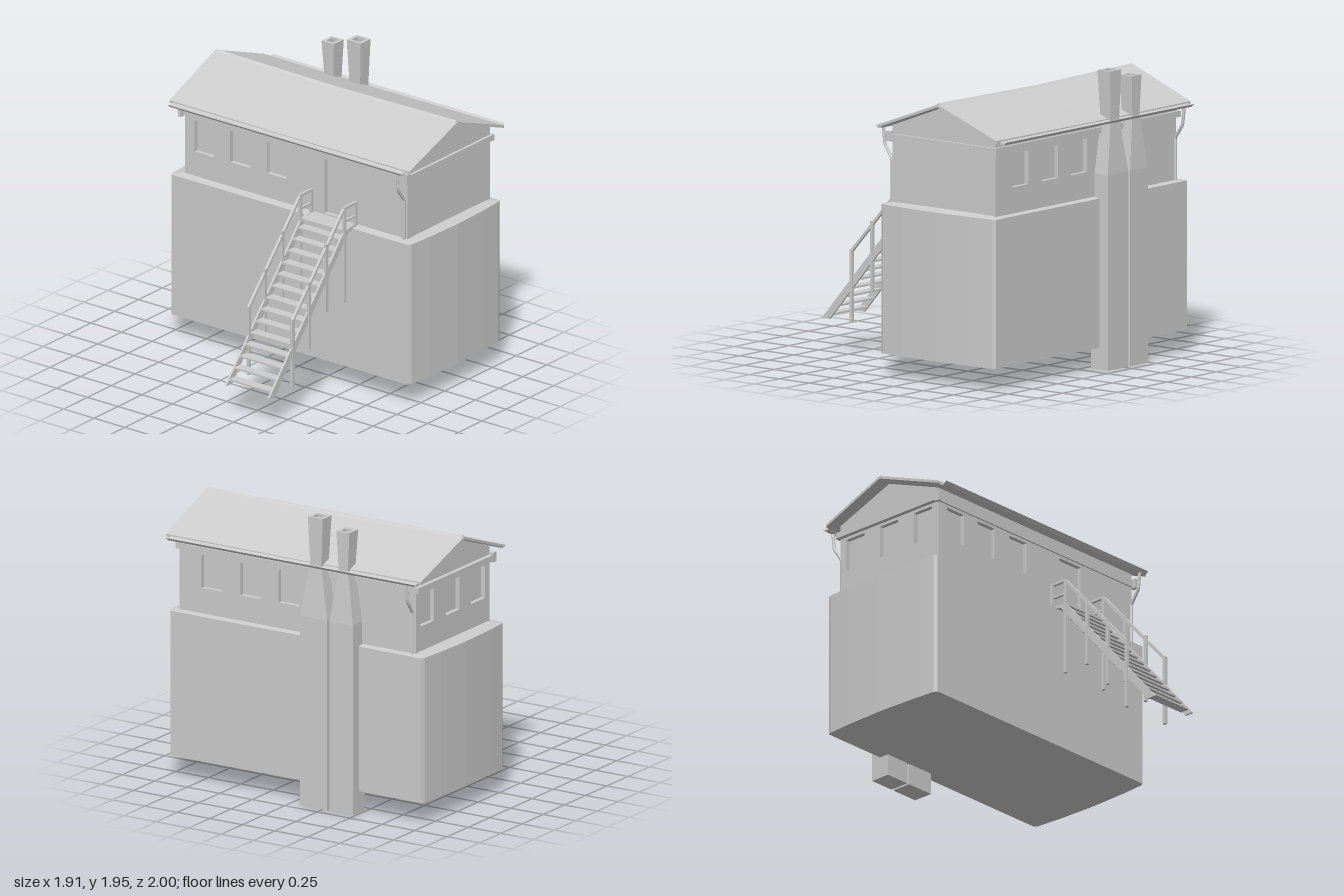
import * as THREE from 'three';

const mat = new THREE.MeshStandardMaterial({ color: 0xcccccc, flatShading: true, side: THREE.DoubleSide });

function add(parent, name, geo, x = 0, y = 0, z = 0) {
  const m = new THREE.Mesh(geo, mat);
  m.name = name;
  m.position.set(x, y, z);
  parent.add(m);
  return m;
}

// Box given by its limits
function block(parent, name, x0, x1, y0, y1, z0, z1) {
  return add(parent, name, new THREE.BoxGeometry(x1 - x0, y1 - y0, z1 - z0),
    (x0 + x1) / 2, (y0 + y1) / 2, (z0 + z1) / 2);
}

// Skin over successive rings, counterclockwise seen from the far end, with end caps
function loft(rings) {
  const pos = [];
  const n = rings[0].length;
  const tri = (...p) => p.forEach((v) => pos.push(...v));
  for (let r = 0; r < rings.length - 1; r++) {
    for (let i = 0; i < n; i++) {
      const j = (i + 1) % n;
      const [a, b, c, d] = [rings[r][i], rings[r][j], rings[r + 1][j], rings[r + 1][i]];
      tri(a, b, c);
      tri(a, c, d);
    }
  }
  const first = rings[0], last = rings[rings.length - 1];
  for (let i = 1; i < n - 1; i++) {
    tri(first[0], first[i + 1], first[i]);
    tri(last[0], last[i], last[i + 1]);
  }
  const g = new THREE.BufferGeometry();
  g.setAttribute('position', new THREE.Float32BufferAttribute(pos, 3));
  g.computeVertexNormals();
  return g;
}

const rectRing = (x0, x1, y, z0, z1) => [[x1, y, z1], [x1, y, z0], [x0, y, z0], [x0, y, z1]];

const polygon = (pts) => new THREE.Shape(pts.map(([x, y]) => new THREE.Vector2(x, y)));

const extrude = (shape, depth) => new THREE.ExtrudeGeometry(shape, { depth, bevelEnabled: false });

// Square bar between two points of a vertical plane at z
function bar(parent, name, x0, y0, x1, y1, z, t) {
  const len = Math.hypot(x1 - x0, y1 - y0);
  const m = add(parent, name, new THREE.BoxGeometry(len, t, t), (x0 + x1) / 2, (y0 + y1) / 2, z);
  m.rotation.z = Math.atan2(y1 - y0, x1 - x0);
}

// Lower storey: end walls bulge slightly, top slopes in to the cabin
function buildBase(g) {
  const ring = (y, inset) => {
    const pts = [];
    const cx = 0.39, hx = 0.48 - inset;
    for (const s of [-1, 1]) {
      for (const u of [-1, -0.95, -0.6, 0, 0.6, 0.95, 1]) {
        const z = 1 - inset - 0.025 * u * u - (Math.abs(u) === 1 ? 0.01 : 0);
        pts.push([cx - s * -u * hx, y, s * z]);
      }
    }
    return pts;
  };
  add(g, 'baseStorey', loft([ring(0.145, 0), ring(1.12, 0), ring(1.135, 0.07)]));
}

// Upper cabin: pierced walls around a recessed core
function buildCabin(g) {
  const X0 = -0.035, X1 = 0.83, Z0 = -0.9, Z1 = 0.92, T = 0.03, Y0 = 1.12, Y1 = 1.635;
  const cabin = new THREE.Group();
  cabin.name = 'cabin';
  g.add(cabin);

  const wall = (name, outline, openings, angle, x, z) => {
    const s = polygon(outline);
    for (const [u, w, y0, y1] of openings) {
      s.holes.push(new THREE.Path([[u - w / 2, y0], [u - w / 2, y1], [u + w / 2, y1], [u + w / 2, y0]]
        .map(([a, b]) => new THREE.Vector2(a, b))));
    }
    add(cabin, name, extrude(s, T), x, 0, z).rotation.y = angle;
  };
  const windows = (us) => us.map((u) => [u, 0.16, 1.3, 1.52]);
  const sideWall = (a, b) => [[a, Y0], [b, Y0], [b, Y1], [a, Y1]];
  const gable = (s) => [[s * X0, Y0], [s * X1, Y0], [s * X1, Y1], [s * 0.4, 1.8], [s * X0, Y1]];

  wall('rightWall', sideWall(-Z1 + T, -Z0 - T), windows([-0.67, -0.37, -0.08]), Math.PI / 2, X1 - T, 0);
  wall('leftWall', sideWall(Z0 + T, Z1 - T),
    [...windows([-0.74, -0.45, -0.15]), [0.34, 0.2, 1.14, 1.52]], -Math.PI / 2, X0 + T, 0);
  wall('frontWall', gable(1), [], 0, 0, Z1 - T);
  wall('backWall', gable(-1), windows([-0.7, -0.4, -0.1]), Math.PI, 0, Z0 + T);
  block(cabin, 'windowPanes', X0 + T, X1 - T, Y0, Y1 - 0.01, Z0 + T, Z1 - T);
  block(cabin, 'trimBand', X0 - 0.012, X1 + 0.018, 1.54, 1.58, Z0 - 0.03, Z1 + 0.02);
  for (const z of [Z0 - 0.018, Z1 + 0.008]) block(cabin, 'trimEnd', -0.07, -0.03, 1.53, 1.595, z - 0.012, z + 0.012);
}

// Sagging gable roof with trimmed ends
function buildRoof(g) {
  const ring = (z, ridge, eave, zIn) => [
    [0.4, ridge - 0.018, z], [0.89, eave - 0.018, z - zIn], [0.89, eave, z - zIn],
    [0.4, ridge, z], [-0.1, eave, z - zIn], [-0.1, eave - 0.018, z - zIn],
  ];
  add(g, 'roof', loft([
    ring(-0.99, 1.825, 1.64, -0.015), ring(-0.5, 1.817, 1.638, 0), ring(0, 1.812, 1.636, 0),
    ring(0.5, 1.817, 1.638, 0), ring(0.99, 1.825, 1.64, 0.005),
  ]));
  const cap = [-0.98, 0, 0.98].map((z) => {
    const y = 1.815 + 0.013 * Math.abs(z);
    return [[0.38, y - 0.008, z], [0.42, y - 0.008, z], [0.4, y + 0.006, z]];
  });
  add(g, 'ridgeCap', loft(cap));
}

// Gutters along both eaves, one downpipe each at opposite ends
function buildGutters(g) {
  for (const side of [-1, 1]) {
    const at = (d) => 0.395 + side * d;
    const s = polygon([[at(0.485), 1.635], [at(0.5), 1.612], [at(0.525), 1.61], [at(0.548), 1.63], [at(0.525), 1.622], [at(0.505), 1.625]]);
    add(g, 'gutter', extrude(s, 1.9), 0, 0, -0.95);
    const z = side < 0 ? 0.9 : -0.88;
    const path = new THREE.CurvePath();
    const pts = [[0.52, 1.615], [0.508, 1.5], [0.446, 1.41], [0.446, 1.13]]
      .map(([d, y]) => new THREE.Vector3(at(d), y, z));
    for (let i = 0; i < 3; i++) path.add(new THREE.LineCurve3(pts[i], pts[i + 1]));
    add(g, 'downpipe', new THREE.TubeGeometry(path, 24, 0.011, 6));
  }
}

// Tapered chimney with a hollow top
function buildChimney(g, zc, half, neck, top) {
  const w = neck + 0.014;
  add(g, 'chimney', loft([
    rectRing(0.8, 0.94, 0, zc - half, zc + half),
    rectRing(0.8, 0.94, 1.28, zc - half, zc + half),
    rectRing(0.828, 0.914, 1.63, zc - neck, zc + neck),
    rectRing(0.815, 0.92, top, zc - w, zc + w),
    rectRing(0.837, 0.9, top, zc - w + 0.022, zc + w - 0.022),
    rectRing(0.837, 0.9, top - 0.1, zc - w + 0.022, zc + w - 0.022),
  ]));
}

// Outside stair with landing and railings
function buildStairs(g) {
  const st = new THREE.Group();
  st.name = 'stairs';
  g.add(st);
  const stringer = polygon([[-0.965, 0.215], [-0.9, 0.215], [-0.13, 1.105], [-0.05, 1.115],
    [-0.05, 1.135], [-0.12, 1.135], [-0.18, 1.12]]);
  for (const z of [0.155, 0.505]) {
    add(st, 'stringer', extrude(stringer, 0.014), 0, 0, z - 0.007);
    const zp = z + (z < 0.3 ? -0.004 : 0.004);
    for (const [x, y0, y1] of [[-0.715, 0.215, 0.69], [-0.545, 0.43, 0.895], [-0.363, 0.63, 1.1],
      [-0.173, 0.63, 1.295], [-0.057, 1.12, 1.295]]) {
      block(st, 'railPost', x - 0.011, x + 0.011, y0, y1, zp - 0.01, zp + 0.01);
    }
    bar(st, 'handrail', -0.72, 0.675, -0.173, 1.287, zp, 0.018);
    bar(st, 'landingRail', -0.18, 1.288, -0.05, 1.288, zp, 0.018);
    bar(st, 'landingMidRail', -0.173, 1.195, -0.05, 1.195, zp, 0.016);
  }
  const steps = 14;
  for (let i = 0; i < steps; i++) {
    const x = -0.9 + i * 0.0555, y = 0.25 + i * 0.0635;
    block(st, 'tread', x - 0.034, x + 0.034, y - 0.006, y + 0.006, 0.16, 0.5);
  }
  block(st, 'landing', -0.18, -0.03, 1.115, 1.132, 0.16, 0.5);
}

export function createModel() {
  const g = new THREE.Group();
  g.name = 'raisedCabin';
  buildBase(g);
  buildCabin(g);
  buildRoof(g);
  buildGutters(g);
  buildChimney(g, -0.183, 0.103, 0.043, 1.95);
  buildChimney(g, -0.395, 0.09, 0.036, 1.89);
  buildStairs(g);
  return g;
}
